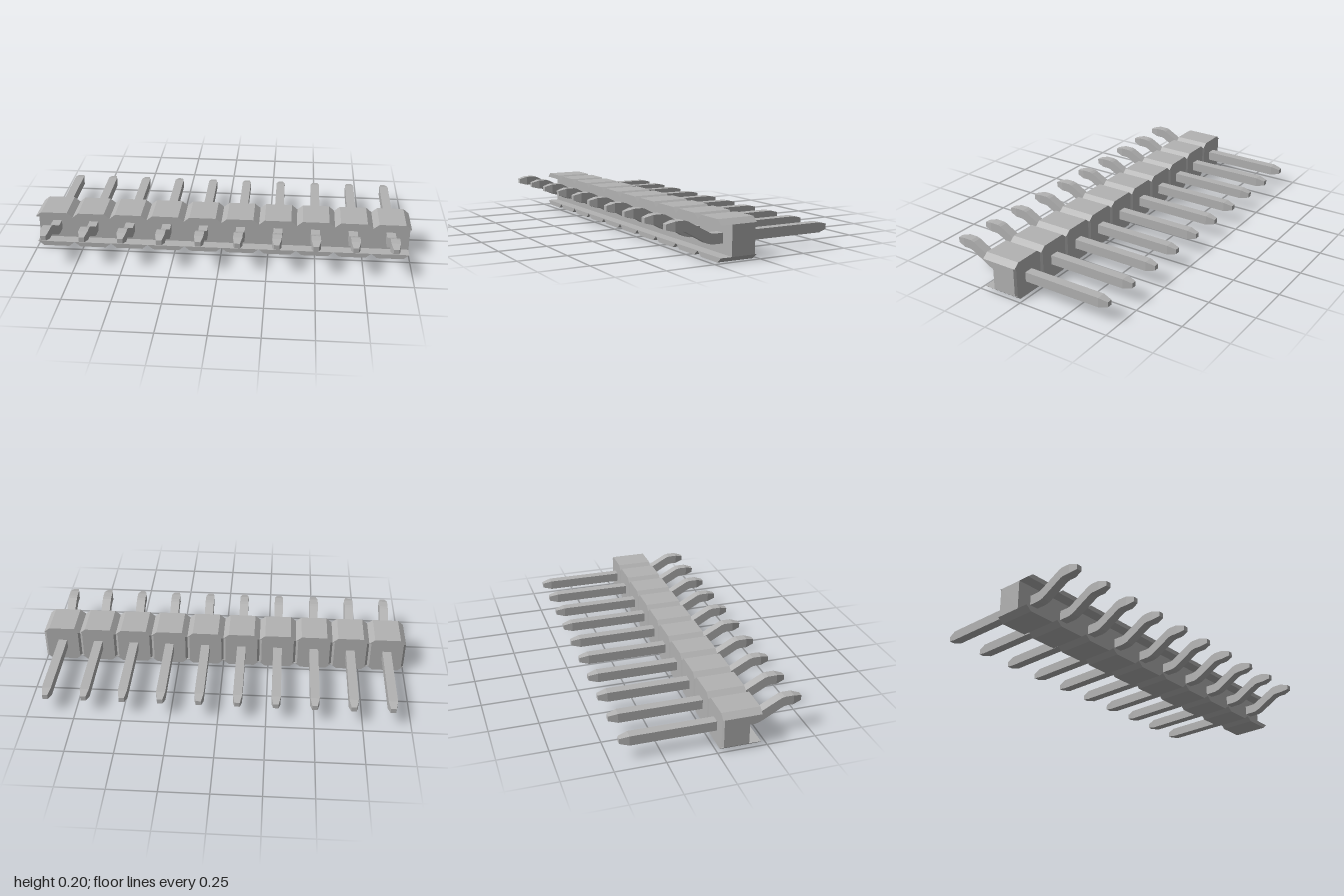
import * as THREE from 'three';

const PINS = 10, PITCH = 0.2, HALF = PITCH / 2;
const BACK = 0.022, CORE_FRONT = 0.157, LIP_FRONT = 0.217;

function polygon(points) {
  return new THREE.Shape(points.map(([x, y]) => new THREE.Vector2(x, y)));
}

// Chamfered plate overhanging the core at the front
function plateGeometry(flip) {
  const c = 0.03;
  const y = (v) => (flip ? 0.2 - v : v);
  const shape = polygon([[-HALF, y(0.175)], [HALF, y(0.175)], [HALF - c, y(0.2)], [-HALF + c, y(0.2)]]);
  return new THREE.ExtrudeGeometry(shape, { depth: LIP_FRONT - BACK, bevelEnabled: false })
    .translate(0, 0, BACK);
}

// Core block with its two rear vertical edges chamfered
function coreGeometry() {
  const c = 0.012;
  const shape = polygon([
    [-HALF, -CORE_FRONT], [HALF, -CORE_FRONT], [HALF, -BACK - 0.008],
    [HALF - c, -BACK], [-HALF + c, -BACK], [-HALF, -BACK - 0.008],
  ]);
  return new THREE.ExtrudeGeometry(shape, { depth: 0.15, bevelEnabled: false })
    .rotateX(-Math.PI / 2).translate(0, 0.025, 0);
}

// Square pin lofted through rings of [bottom z, bottom y, top z, top y, half width]
function pinGeometry() {
  const rings = [
    [-0.453, 0.087, -0.453, 0.113, 0.014],
    [-0.405, 0.075, -0.405, 0.125, 0.024],
    [0.215, 0.075, 0.21, 0.125, 0.024],
    [0.24, 0.081, 0.225, 0.129, 0.024],
    [0.357, 0.146, 0.345, 0.194, 0.024],
    [0.373, 0.15, 0.363, 0.199, 0.024],
    [0.41, 0.15, 0.41, 0.199, 0.024],
    [0.453, 0.161, 0.453, 0.187, 0.014],
  ];
  const positions = [], index = [];
  rings.forEach(([zb, yb, zt, yt, w], i) => {
    positions.push(-w, yb, zb, w, yb, zb, w, yt, zt, -w, yt, zt);
    if (i === 0) return;
    for (let k = 0; k < 4; k++) {
      const n = (k + 1) % 4, a = (i - 1) * 4, b = i * 4;
      index.push(a + k, a + n, b + n, a + k, b + n, b + k);
    }
  });
  const e = (rings.length - 1) * 4;
  index.push(0, 2, 1, 0, 3, 2, e, e + 1, e + 2, e, e + 2, e + 3);
  const indexed = new THREE.BufferGeometry();
  indexed.setAttribute('position', new THREE.Float32BufferAttribute(positions, 3));
  indexed.setIndex(index);
  const geometry = indexed.toNonIndexed();
  geometry.computeVertexNormals();
  return geometry;
}

export function createModel() {
  const model = new THREE.Group();
  model.name = 'pinHeader';
  const grey = new THREE.MeshStandardMaterial({ color: 0xb2b2b2 });
  grey.name = 'grey';

  const parts = {
    core: coreGeometry(),
    topPlate: plateGeometry(false),
    bottomPlate: plateGeometry(true),
    pin: pinGeometry(),
  };

  // One housing cell and bent pin per position
  for (let i = 0; i < PINS; i++) {
    const cell = new THREE.Group();
    cell.name = `cell${i + 1}`;
    cell.position.x = (i - (PINS - 1) / 2) * PITCH;
    for (const [name, geometry] of Object.entries(parts)) {
      const mesh = new THREE.Mesh(geometry, grey);
      mesh.name = name;
      cell.add(mesh);
    }
    model.add(cell);
  }
  return model;
}
